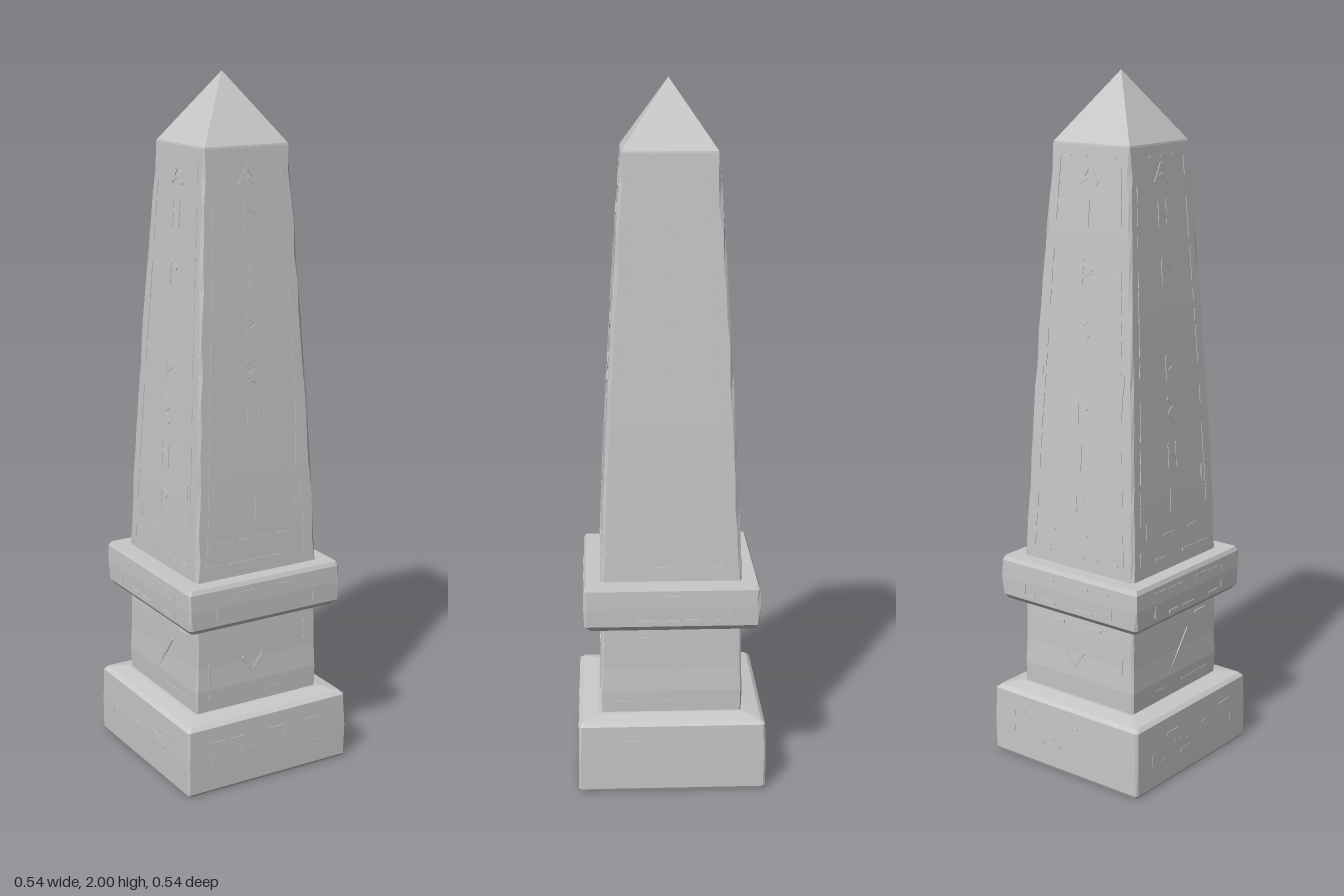
import * as THREE from 'three';
import { mergeGeometries } from 'three/addons/utils/BufferGeometryUtils.js';

const stone = new THREE.MeshStandardMaterial({ color: 0xc8c8c8 });
stone.name = 'grey stone';

// Small seeded generator for wear
let seed = 7;
const rand = () => (seed = (seed * 16807) % 2147483647) / 2147483647;

// Square ring with worn, uneven corner chamfers; the faces stay flat
function ring([y, h, chamfer]) {
  const points = [];
  for (let k = 0; k < 4; k++) {
    for (const first of [true, false]) {
      const c = Math.min(h * 0.4, chamfer * (0.5 + rand()));
      const [x, z] = first ? [h, h - c] : [h - c, h];
      const cos = [1, 0, -1, 0][k], sin = [0, 1, 0, -1][k];
      points.push([x * cos - z * sin, y, x * sin + z * cos]);
    }
  }
  return points;
}

// Closed loft through [height, half width, chamfer] levels, flat faces
function loft(name, levels) {
  const rings = levels.map(ring), pos = [];
  const tri = (...corners) => corners.forEach((p) => pos.push(...p));
  for (let j = 0; j < 8; j++) {
    const n = (j + 1) % 8;
    for (let i = 0; i + 1 < rings.length; i++) {
      const lo = rings[i], up = rings[i + 1];
      tri(lo[j], up[j], lo[n]);
      tri(lo[n], up[j], up[n]);
    }
    const bottom = rings[0], top = rings[rings.length - 1];
    tri([0, bottom[0][1], 0], bottom[j], bottom[n]);
    tri([0, top[0][1], 0], top[n], top[j]);
  }
  const geometry = new THREE.BufferGeometry();
  geometry.setAttribute('position', new THREE.Float32BufferAttribute(pos, 3));
  geometry.computeVertexNormals();
  const mesh = new THREE.Mesh(geometry, stone);
  mesh.name = name;
  return mesh;
}

// Half width of the gently bulging shaft
const SHAFT_LOW = 0.6, SHAFT_TOP = 1.805;
const shaftHalf = (y) => 0.2 - 0.066 * Math.pow(Math.max(0, (y - SHAFT_LOW) / (SHAFT_TOP - SHAFT_LOW)), 1.25);

// Thin chisel stroke between two points on one side (0 = front)
function stroke(list, side, half, x1, y1, x2, y2, width = 0.01) {
  const y = (y1 + y2) / 2;
  const slope = (half(y + 0.01) - half(y - 0.01)) / 0.02;
  const box = new THREE.BoxGeometry(Math.hypot(x2 - x1, y2 - y1), width, 0.006);
  box.rotateZ(Math.atan2(y2 - y1, x2 - x1));
  box.rotateX(Math.atan(slope));
  box.translate((x1 + x2) / 2, y, half(y) - 0.001);
  box.rotateY(side * Math.PI / 2);
  list.push(box);
}

// Worn line: short dashes with some missing
function wornLine(list, side, half, x1, y1, x2, y2, keep) {
  const count = Math.max(2, Math.round(Math.hypot(x2 - x1, y2 - y1) / 0.06));
  const at = (a, b, t) => a + (b - a) * t;
  for (let i = 0; i < count; i++) {
    if (rand() > keep) continue;
    const a = i / count, b = (i + 0.6 + 0.4 * rand()) / count;
    stroke(list, side, half, at(x1, x2, a), at(y1, y2, a), at(x1, x2, b), at(y1, y2, b), 0.006 + 0.004 * rand());
  }
}

// Worn rectangular frame, wider at the bottom if needed
function frame(list, side, half, lowX, topX, lowY, topY, keep) {
  wornLine(list, side, half, -lowX, lowY, lowX, lowY, keep);
  wornLine(list, side, half, -topX, topY, topX, topY, keep);
  for (const s of [-1, 1]) wornLine(list, side, half, s * lowX, lowY, s * topX, topY, keep);
}

// Abstract chisel marks as strokes [x1, y1, x2, y2]
const MARKS = [
  [[-0.014, -0.036, -0.014, 0.036], [-0.014, 0.033, 0.022, 0.01]],
  [[-0.018, 0.036, 0.014, 0.01], [0.014, 0.01, -0.014, -0.007], [-0.014, -0.007, 0.017, -0.036]],
  [[0, -0.038, 0, 0.038]],
  [[-0.018, -0.036, -0.018, 0.036], [0.018, -0.036, 0.018, 0.036], [-0.018, 0.012, 0.018, -0.012]],
  [[-0.014, -0.036, -0.014, 0.036], [-0.014, 0.026, 0.02, 0.005], [0.02, 0.005, -0.014, -0.014]],
];

function carvings(name, list) {
  const mesh = new THREE.Mesh(mergeGeometries(list), stone);
  mesh.name = name;
  return mesh;
}

export function createModel() {
  const model = new THREE.Group();
  model.name = 'obelisk';

  // Stepped pedestal
  model.add(loft('base', [[0, 0.264, 0.006], [0.008, 0.268, 0.006], [0.1, 0.268, 0.005],
    [0.198, 0.266, 0.006], [0.208, 0.255, 0.007], [0.217, 0.21, 0.006]]));
  model.add(loft('pedestal', [[0.2, 0.2, 0.004], [0.28, 0.203, 0.006], [0.35, 0.2, 0.004],
    [0.42, 0.2, 0.006], [0.5, 0.198, 0.004]]));
  model.add(loft('collar', [[0.472, 0.2, 0.005], [0.48, 0.235, 0.006], [0.495, 0.248, 0.008],
    [0.55, 0.25, 0.006], [0.6, 0.249, 0.006], [0.612, 0.243, 0.006]]));

  // Tapered shaft with chipped corners
  const levels = [];
  for (let i = 0; i <= 16; i++) {
    const y = SHAFT_LOW + (SHAFT_TOP - SHAFT_LOW) * i / 16;
    levels.push([y, shaftHalf(y), i === 16 ? 0.002 : 0.008]);
  }
  model.add(loft('shaft', levels));

  // Pointed cap
  model.add(loft('cap', [[1.8, 0.134, 0.002], [1.81, 0.132, 0.001], [2, 0.0004, 0.0001]]));

  // Worn carvings on all four sides
  const shaftMarks = [], collarMarks = [], pedestalMarks = [], baseMarks = [];
  const collarHalf = () => 0.249, pedestalHalf = () => 0.201, baseHalf = () => 0.267;
  for (let side = 0; side < 4; side++) {
    frame(shaftMarks, side, shaftHalf, 0.162, 0.105, 0.65, 1.775, 0.75);
    wornLine(shaftMarks, side, shaftHalf, -0.12, 0.715, 0.12, 0.715, 0.6);
    for (const s of [-1, 1]) {
      wornLine(shaftMarks, side, shaftHalf, s * 0.13, 0.72, s * 0.145, 1.2, 0.35);
      stroke(shaftMarks, side, shaftHalf, s * 0.03, 1.705, 0, 1.755);
      stroke(shaftMarks, side, shaftHalf, s * 0.03, 1.705, 0, 1.725);
    }
    [1.62, 1.46, 1.32, 1.19, 1.07, 0.94, 0.81].forEach((y, i) => {
      if ((i + side) % 6 === 5) return;
      for (const [x1, y1, x2, y2] of MARKS[(i * 2 + side) % MARKS.length]) {
        stroke(shaftMarks, side, shaftHalf, x1, y + y1, x2, y + y2);
      }
    });
    frame(collarMarks, side, collarHalf, 0.16, 0.16, 0.51, 0.58, 0.6);
    frame(pedestalMarks, side, pedestalHalf, 0.16, 0.16, 0.25, 0.44, 0.35);
    frame(baseMarks, side, baseHalf, 0.19, 0.19, 0.075, 0.15, 0.5);

    // Cracks
    if (side % 2) stroke(pedestalMarks, side, pedestalHalf, -0.03, 0.28, 0.06, 0.4);
    else {
      stroke(pedestalMarks, side, pedestalHalf, -0.05, 0.36, -0.015, 0.31);
      stroke(pedestalMarks, side, pedestalHalf, -0.015, 0.31, 0.02, 0.36);
    }
    stroke(baseMarks, side, baseHalf, -0.09, 0.12, -0.03, 0.1);
    stroke(baseMarks, side, baseHalf, 0.05, 0.13, 0.13, 0.1);
  }
  model.add(carvings('shaftCarvings', shaftMarks), carvings('collarCarvings', collarMarks),
    carvings('pedestalCarvings', pedestalMarks), carvings('baseCarvings', baseMarks));
  return model;
}
